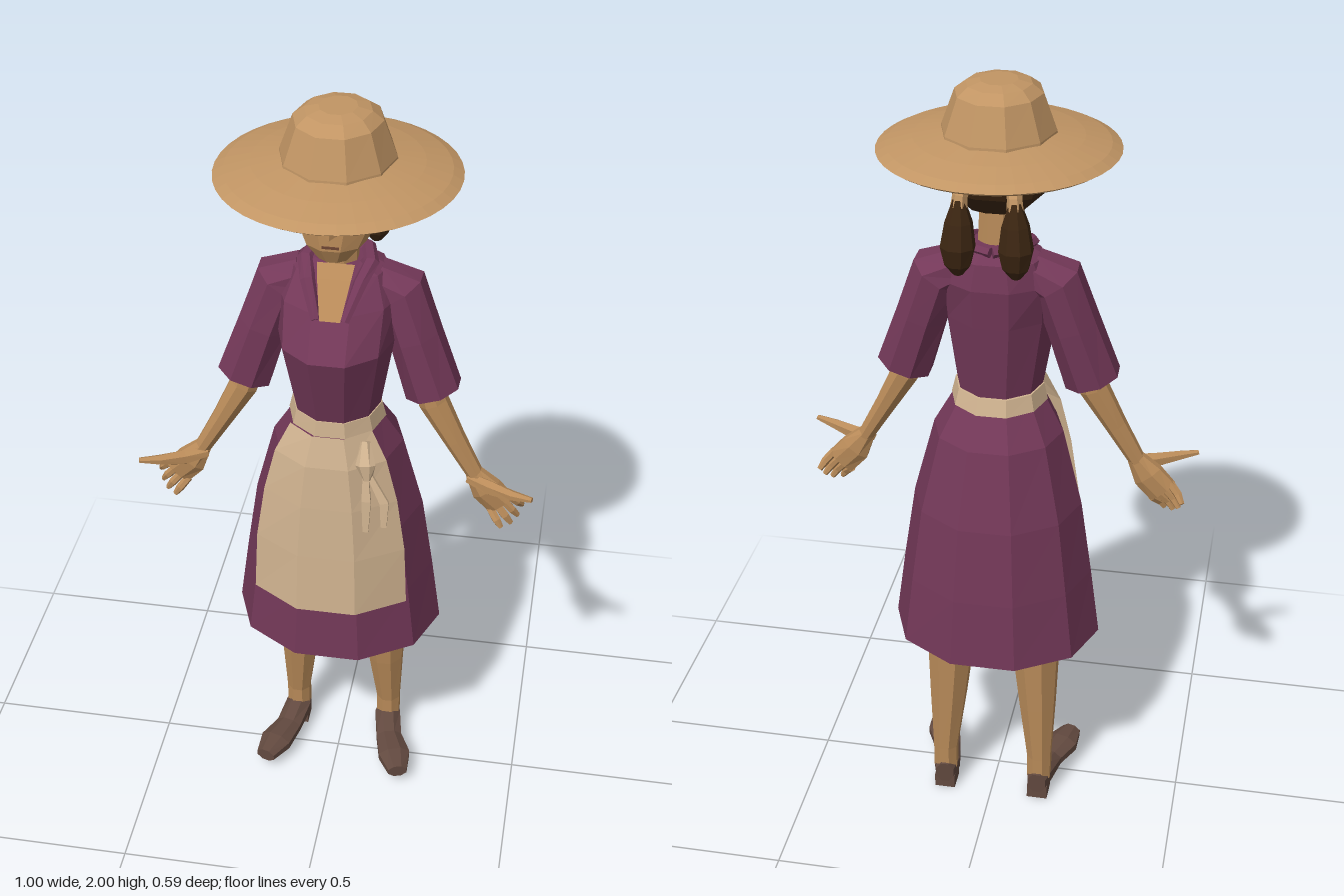
import * as THREE from 'three';

const mat = (name, color, side = THREE.FrontSide) =>
  Object.assign(new THREE.MeshStandardMaterial({ color, side }), { name });
const M = {
  dress: mat('plum cloth', 0x733858),
  apron: mat('cream cloth', 0xd0b390, THREE.DoubleSide),
  skin: mat('skin', 0xb98b59),
  straw: mat('straw', 0xc19564),
  hair: mat('dark brown hair', 0x3c2612),
  shoe: mat('shoe leather', 0x634a40),
  lining: mat('skirt lining', 0x6e4632),
  eye: mat('eye dark', 0x2a1a10),
};

// Skins a list of cross-sections with flat faces
function loft(rings, { closed = true, caps = true } = {}) {
  const n = rings[0].length, pos = rings.flat(2), idx = [];
  for (let i = 0; i < rings.length - 1; i++) {
    for (let j = 0; j < (closed ? n : n - 1); j++) {
      const k = (j + 1) % n, a = i * n + j, b = i * n + k;
      idx.push(a, b, b + n, a, b + n, a + n);
    }
  }
  if (closed && caps) {
    const top = (rings.length - 1) * n;
    for (let j = 1; j < n - 1; j++) idx.push(0, j + 1, j, top, top + j, top + j + 1);
  }
  const g = new THREE.BufferGeometry();
  g.setAttribute('position', new THREE.Float32BufferAttribute(pos, 3));
  g.setIndex(idx);
  return flat(g);
}

function flat(g) {
  const f = g.index ? g.toNonIndexed() : g;
  f.computeVertexNormals();
  return f;
}

// Ten-sided horizontal section: height, half width, front z, back z
const COS18 = Math.cos(Math.PI / 10);
function section([y, rx, zf, zb], from = 0, count = 10) {
  const zc = (zf + zb) / 2, rz = (zf - zb) / 2 / COS18;
  return Array.from({ length: count }, (_, j) => {
    const a = (from + j + 0.5) * Math.PI / 5;
    return [rx * Math.sin(a), y, zc + rz * Math.cos(a)];
  });
}
const body = (rows) => loft(rows.map((r) => section(r)));

// Tapered limb along points [x, y, z, half width, half depth], side s = 1 or -1
const Y = new THREE.Vector3(0, 1, 0), Z = new THREE.Vector3(0, 0, 1);
function limb(points, s = 1, n = 8, ref = Z) {
  const p = points.map((q) => new THREE.Vector3(q[0] * s, q[1], q[2]));
  return loft(p.map((c, i) => {
    const d = p[Math.min(i + 1, p.length - 1)].clone().sub(p[Math.max(i - 1, 0)]).normalize();
    const u = d.clone().cross(ref).normalize(), v = u.clone().cross(d);
    return Array.from({ length: n }, (_, j) => {
      const a = (j + 0.5) * 2 * Math.PI / n;
      return c.clone().addScaledVector(u, points[i][3] * Math.sin(a))
        .addScaledVector(v, points[i][4] * Math.cos(a)).toArray();
    });
  }));
}

export function createModel() {
  const model = new THREE.Group();
  model.name = 'woman in straw hat';
  const add = (name, geo, material, parent = model) => {
    const m = new THREE.Mesh(geo, material);
    m.name = name;
    parent.add(m);
    return m;
  };

  // Dress
  const hem = [0.515, 0.272, 0.19, -0.245];
  add('skirt', loft([hem, [0.7, 0.247, 0.18, -0.23], [0.9, 0.217, 0.165, -0.205],
    [1.1, 0.165, 0.14, -0.155], [1.2, 0.107, 0.115, -0.09]].map((r) => section(r)), { caps: false }), M.dress);
  add('skirtLining', body([[0.52, 0.268, 0.186, -0.241], [0.54, 0.26, 0.18, -0.235]]), M.lining);
  add('bodice', body([[1.2, 0.105, 0.113, -0.09], [1.42, 0.142, 0.175, -0.115],
    [1.52, 0.147, 0.11, -0.125], [1.585, 0.12, 0.055, -0.115], [1.612, 0.065, 0.03, -0.09]]), M.dress);

  // Apron, wrapped round the front of the skirt, with belt and tied ends
  add('apron', loft([[0.68, 0.245, 0.2, -0.2], [0.85, 0.235, 0.192, -0.18], [1.0, 0.208, 0.184, -0.165],
    [1.12, 0.172, 0.175, -0.135], [1.2, 0.125, 0.155, -0.1]].map((r) => section(r, -2, 4)), { closed: false }), M.apron);
  add('belt', body([[1.18, 0.122, 0.126, -0.112], [1.222, 0.112, 0.122, -0.1]]), M.apron);
  add('apronKnot', limb([[0.09, 1.19, 0.14, 0.012, 0.012], [0.095, 1.14, 0.17, 0.025, 0.015],
    [0.1, 1.1, 0.17, 0.012, 0.012]], 1, 6), M.apron);
  for (const [x, y] of [[0.1, 0.95], [0.145, 0.97]])
    add('apronTie', limb([[0.095, 1.13, 0.165, 0.008, 0.006], [x, 1.04, 0.183, 0.016, 0.006],
      [x, y, 0.188, 0.01, 0.006]], 1, 4), M.apron);

  // Neck and open neckline
  add('neck', limb([[0, 1.55, -0.015, 0.052, 0.046], [0, 1.72, -0.01, 0.045, 0.043]]), M.skin);
  add('neckline', loft([[[-0.025, 1.51, 0.123], [0.025, 1.51, 0.123]],
    [[-0.04, 1.588, 0.061], [0.04, 1.588, 0.061]],
    [[-0.045, 1.616, 0.034], [0.045, 1.616, 0.034]]], { closed: false }), M.skin);

  // Head
  add('head', body([[1.652, 0.04, 0.092, 0.02], [1.69, 0.074, 0.11, -0.02], [1.74, 0.1, 0.108, -0.06],
    [1.78, 0.112, 0.104, -0.08], [1.85, 0.11, 0.1, -0.09]]), M.skin);
  add('nose', loft([[[-0.018, 1.73, 0.1], [0, 1.728, 0.13], [0.018, 1.73, 0.1]],
    [[-0.007, 1.79, 0.098], [0, 1.79, 0.107], [0.007, 1.79, 0.098]]]), M.skin);
  add('mouth', new THREE.BoxGeometry(0.04, 0.006, 0.006), M.lining).position.set(0, 1.7, 0.109);
  add('hair', body([[1.7, 0.065, -0.01, -0.075], [1.75, 0.115, 0.015, -0.118], [1.795, 0.13, 0.045, -0.135],
    [1.812, 0.132, 0.085, -0.135], [1.84, 0.135, 0.122, -0.13]]), M.hair);

  // Straw hat
  const brim = new THREE.LatheGeometry([[0, 1.84], [0.13, 1.838], [0.275, 1.83], [0.287, 1.838], [0.262, 1.851],
    [0.2, 1.868], [0.125, 1.882]].map(([r, y]) => new THREE.Vector2(r, y)), 40);
  add('hatBrim', flat(brim), M.straw).scale.z = 1.03;
  add('hatCrown', body([[1.865, 0.138, 0.142, -0.145], [1.885, 0.136, 0.14, -0.143],
    [1.972, 0.104, 0.11, -0.112], [1.992, 0.078, 0.08, -0.082], [2.0, 0.045, 0.047, -0.049]]), M.straw);

  for (const s of [1, -1]) {
    const side = s > 0 ? 'left' : 'right';
    const half = new THREE.Group();
    half.name = side + 'Side';
    model.add(half);
    const put = (name, geo, m) => add(side + name, geo, m, half);

    // Face details
    for (const [name, y, w, h] of [['Eye', 1.775, 0.036, 0.014], ['Brow', 1.799, 0.045, 0.006]]) {
      const e = put(name, new THREE.BoxGeometry(w, h, 0.008), M.eye);
      e.position.set(0.052 * s, y, 0.0925);
      e.rotation.y = 0.55 * s;
    }
    put('Ear', limb([[0.112, 1.74, 0.03, 0.008, 0.012], [0.122, 1.77, 0.035, 0.012, 0.02],
      [0.125, 1.795, 0.03, 0.008, 0.016]], s, 6), M.skin);

    // Tied pigtail
    put('Pigtail', limb([[0.065, 1.765, -0.155, 0.014, 0.014], [0.066, 1.71, -0.155, 0.033, 0.033],
      [0.068, 1.65, -0.158, 0.042, 0.042], [0.068, 1.605, -0.158, 0.032, 0.03],
      [0.068, 1.58, -0.157, 0.012, 0.012]], s), M.hair);
    put('HairTie', limb([[0.065, 1.745, -0.155, 0.02, 0.02], [0.063, 1.77, -0.15, 0.018, 0.018],
      [0.06, 1.788, -0.135, 0.02, 0.02]], s, 6), M.straw);

    // Collar and sleeve
    put('Collar', limb([[0.034, 1.51, 0.118, 0.012, 0.01], [0.062, 1.585, 0.064, 0.018, 0.013],
      [0.078, 1.607, 0, 0.02, 0.014], [0.062, 1.612, -0.065, 0.02, 0.014],
      [0, 1.612, -0.095, 0.018, 0.014]], s, 6, Y), M.dress);
    put('Sleeve', limb([[0.085, 1.55, -0.03, 0.05, 0.06], [0.145, 1.525, -0.03, 0.068, 0.072],
      [0.185, 1.41, -0.02, 0.066, 0.076], [0.235, 1.26, -0.01, 0.072, 0.072]], s), M.dress);

    // Arm, palm, fingers and outstretched thumb
    put('Arm', limb([[0.2, 1.35, -0.005, 0.035, 0.035], [0.237, 1.23, -0.002, 0.038, 0.038],
      [0.295, 1.125, 0.005, 0.028, 0.03], [0.355, 1.02, 0.01, 0.021, 0.022]], s), M.skin);
    put('Palm', limb([[0.345, 1.035, 0.01, 0.022, 0.022], [0.38, 0.985, 0.01, 0.042, 0.026],
      [0.42, 0.942, 0.008, 0.042, 0.018]], s), M.skin);
    for (let i = 0; i < 4; i++) {
      const t = (i - 1.5) * 0.021, x = 0.415 + t * 0.72, y = 0.945 + t * 0.7, l = [0.8, 1, 1, 0.85][i];
      put('Finger' + (i + 1), limb([[x, y, 0.008, 0.011, 0.012],
        [x + 0.025 * l, y - 0.028 * l, 0.012 - t * 0.5, 0.011, 0.011],
        [x + 0.04 * l, y - 0.05 * l, 0.006 - t * 0.8, 0.007, 0.008]], s, 6), M.skin);
    }
    put('Thumb', limb([[0.335, 1.02, 0.018, 0.014, 0.016], [0.39, 1.01, 0.04, 0.022, 0.016],
      [0.45, 1.015, 0.068, 0.013, 0.014], [0.499, 1.02, 0.085, 0.006, 0.008]], s, 6), M.skin);

    // Leg and shoe
    put('Leg', limb([[0.112, 0.62, -0.075, 0.068, 0.072], [0.113, 0.5, -0.077, 0.066, 0.07],
      [0.122, 0.3, -0.088, 0.05, 0.053], [0.13, 0.13, -0.1, 0.034, 0.035],
      [0.13, 0.06, -0.1, 0.034, 0.034]], s), M.skin);
    put('Shoe', limb([[0.128, 0.052, -0.135, 0.026, 0.034], [0.13, 0.055, -0.09, 0.038, 0.037],
      [0.145, 0.045, -0.01, 0.038, 0.024], [0.17, 0.045, 0.06, 0.047, 0.027],
      [0.188, 0.044, 0.12, 0.028, 0.02]], s, 8, Y), M.shoe);
    put('Heel', new THREE.BoxGeometry(0.055, 0.04, 0.06), M.shoe).position.set(0.129 * s, 0.02, -0.102);
  }
  return model;
}
